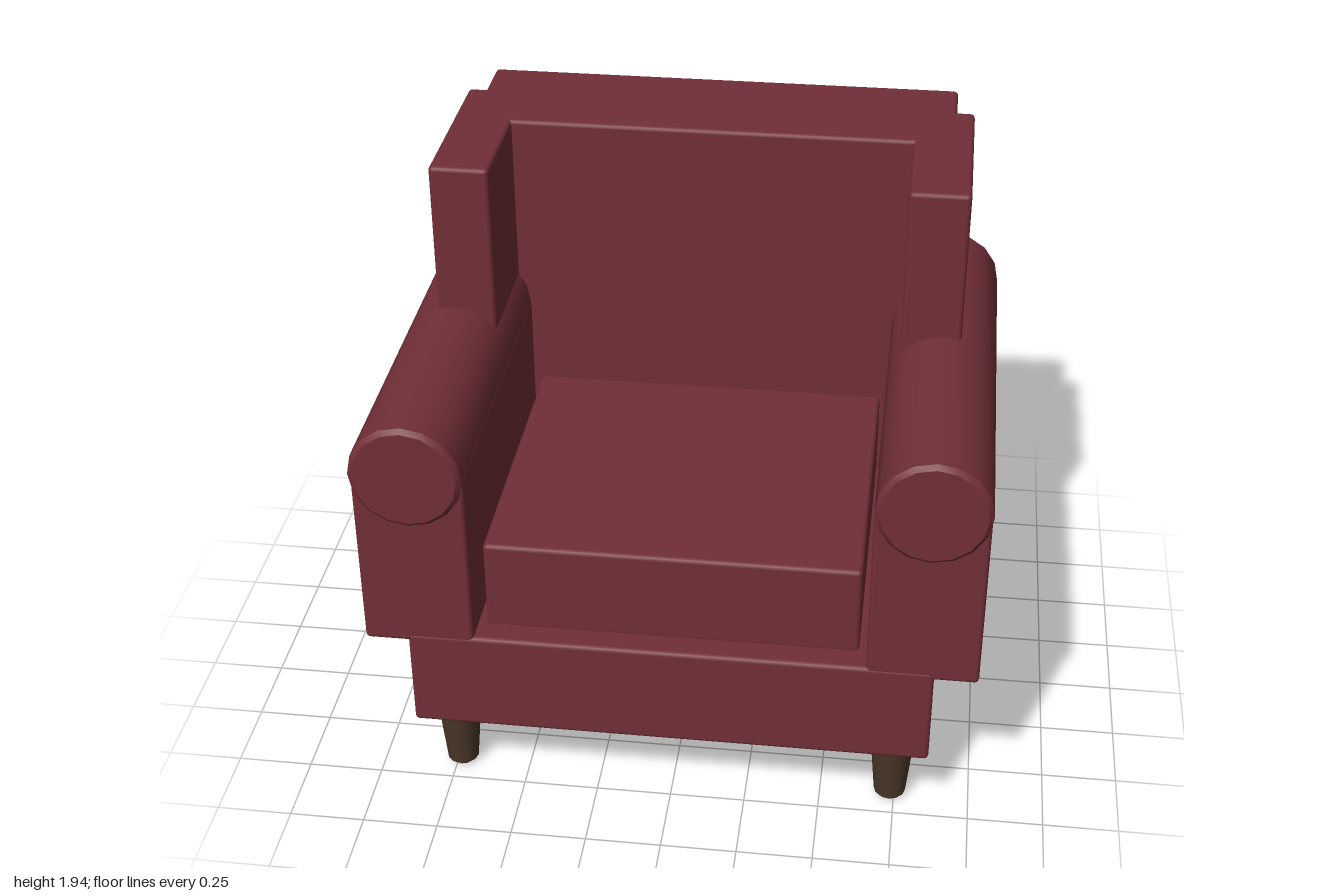
import * as THREE from 'three';
import { toCreasedNormals } from 'three/addons/utils/BufferGeometryUtils.js';
import { RoundedBoxGeometry } from 'three/addons/geometries/RoundedBoxGeometry.js';

export function createModel() {
  const chair = new THREE.Group();
  chair.name = 'armchair';

  const fabric = new THREE.MeshStandardMaterial({ color: 0x722f37 });
  fabric.name = 'wine fabric';
  const wood = new THREE.MeshStandardMaterial({ color: 0x4a3728 });
  wood.name = 'dark wood';

  const add = (name, geometry, material) => {
    const mesh = new THREE.Mesh(geometry, material);
    mesh.name = name;
    chair.add(mesh);
    return mesh;
  };

  // Soft-edged block given by its extents on each axis
  const block = (name, [x0, x1], [y0, y1], [z0, z1]) => {
    const geometry = new RoundedBoxGeometry(x1 - x0, y1 - y0, z1 - z0, 2, 0.015);
    add(name, geometry, fabric).position.set((x0 + x1) / 2, (y0 + y1) / 2, (z0 + z1) / 2);
  };

  // Faceted round with small bevels at both ends, standing on y = 0
  const bevelledRound = (rBottom, rTop, height, bevel, sides) => {
    const profile = [
      [0, 0], [rBottom - bevel, 0], [rBottom, bevel],
      [rTop, height - bevel], [rTop - bevel, height], [0, height],
    ].map(([r, y]) => new THREE.Vector2(r, y));
    return new THREE.LatheGeometry(profile, sides);
  };

  // Body
  block('base', [-0.855, 0.855], [0.27, 0.63], [-0.805, 0.785]);
  block('seatCushion', [-0.61, 0.61], [0.62, 0.94], [-0.4, 0.695]);
  block('backrest', [-0.815, 0.815], [0.64, 1.94], [-0.805, -0.368]);

  const rollGeometry = toCreasedNormals(bevelledRound(0.181, 0.181, 1.545, 0.015, 16), 0.5);
  rollGeometry.rotateX(Math.PI / 2);
  const legGeometry = toCreasedNormals(bevelledRound(0.053, 0.075, 0.27, 0.015, 12), 0.6);

  for (const [label, s] of [['left', 1], ['right', -1]]) {
    const span = (a, b) => (s > 0 ? [a, b] : [-b, -a]);

    // Arm panel, its rolled top and the wing above
    block(label + 'ArmPanel', span(0.637, 0.997), [0.6, 1.25], [-0.72, 0.783]);
    add(label + 'ArmRoll', rollGeometry, fabric).position.set(s * 0.819, 1.248, -0.74);
    block(label + 'Wing', span(0.677, 0.875), [1.2, 1.94], [-0.62, 0.025]);

    // Tapered legs
    for (const [end, z] of [['Front', 0.645], ['Back', -0.66]]) {
      add(label + end + 'Leg', legGeometry, wood).position.set(s * 0.735, 0, z);
    }
  }
  return chair;
}
